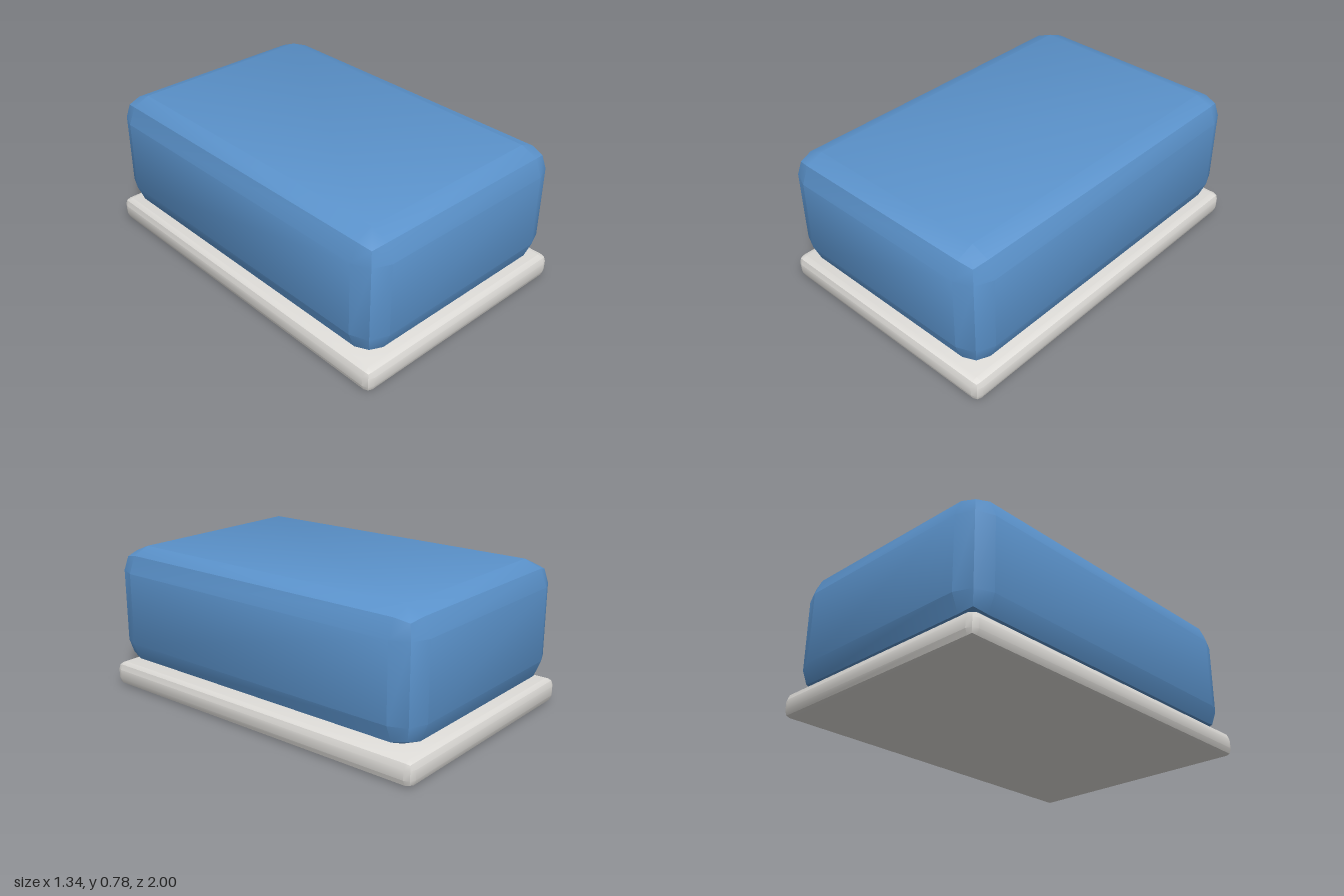
import * as THREE from 'three';
import { toCreasedNormals } from 'three/addons/utils/BufferGeometryUtils.js';
import { RoundedBoxGeometry } from 'three/addons/geometries/RoundedBoxGeometry.js';

// Box with two-facet rounded edges, standing on height y, creased along the mitre lines
function block(name, w, h, d, radius, y, material) {
  const geometry = toCreasedNormals(new RoundedBoxGeometry(w, h, d, 1, radius), Math.PI / 6);
  const mesh = new THREE.Mesh(geometry, material);
  mesh.name = name;
  mesh.position.y = y + h / 2;
  return mesh;
}

export function createModel() {
  const blue = new THREE.MeshStandardMaterial({ color: 0x5b93cc });
  blue.name = 'blue';
  const paleGrey = new THREE.MeshStandardMaterial({ color: 0xdddbd7 });
  paleGrey.name = 'paleGrey';

  const model = new THREE.Group();
  model.name = 'cushionOnBase';
  model.add(
    block('base', 1.34, 0.13, 2, 0.04, 0, paleGrey),
    block('cushion', 1.3, 0.655, 1.96, 0.13, 0.13, blue),
  );
  return model;
}
